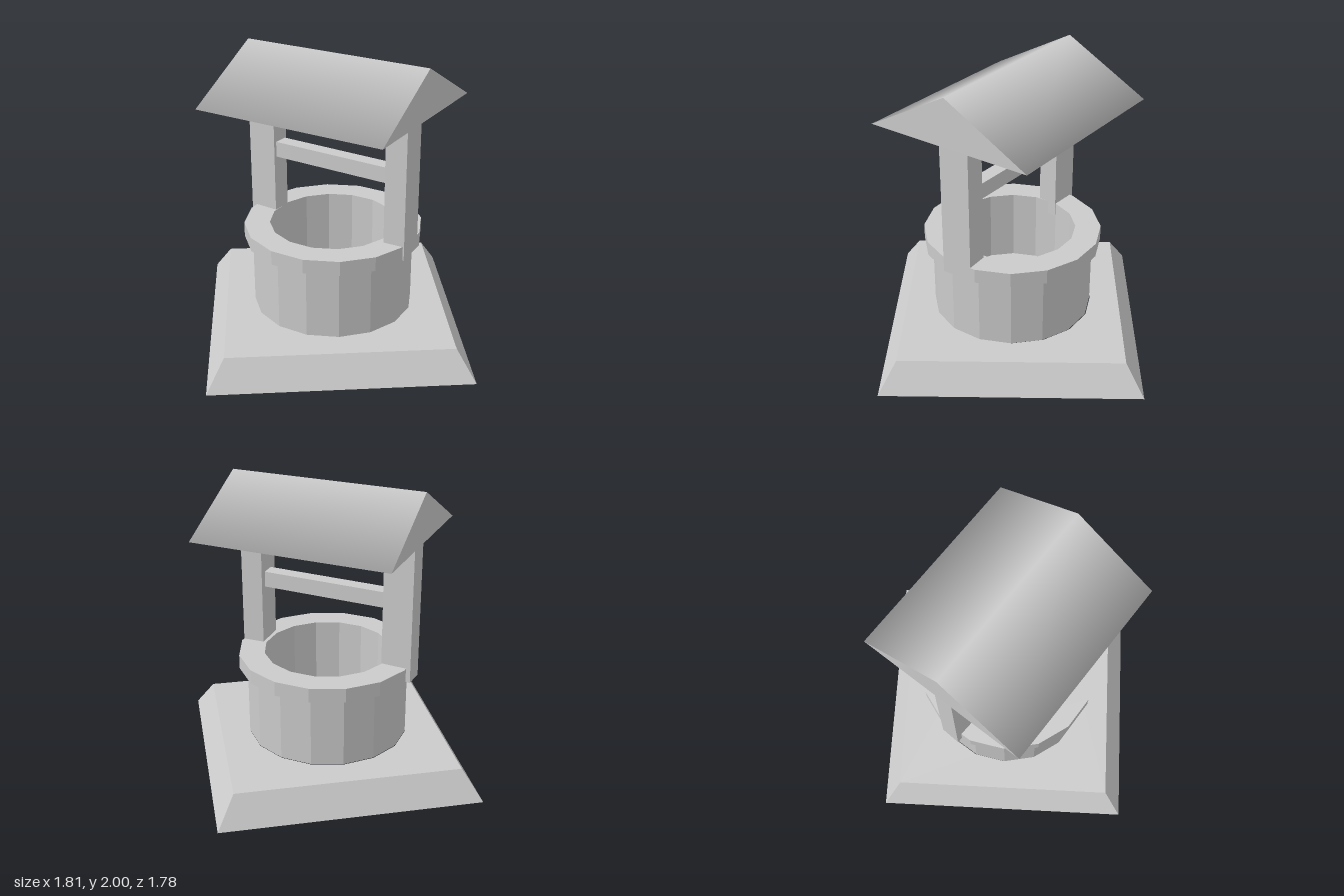
import * as THREE from 'three';

const flat = new THREE.MeshStandardMaterial({ color: 0xcccccc, flatShading: true, side: THREE.DoubleSide });
const smooth = new THREE.MeshStandardMaterial({ color: 0xcccccc });

// Triangular prism along x: flat ends, normals blended around its three long edges
function prismGeometry(length, width, height) {
  const h = length / 2, w = width / 2;
  const slope = new THREE.Vector2(height, w).normalize();
  const eave = new THREE.Vector2(slope.x, slope.y - 1).normalize();
  const corners = [
    { y: 0, z: w, n: [0, eave.y, eave.x] },
    { y: height, z: 0, n: [0, 1, 0] },
    { y: 0, z: -w, n: [0, eave.y, -eave.x] },
  ];
  const pos = [], nor = [];
  const add = (x, c, n) => { pos.push(x, c.y, c.z); nor.push(...n); };
  corners.forEach((a, i) => {
    const b = corners[(i + 1) % 3];
    [[-h, a], [h, a], [h, b], [-h, a], [h, b], [-h, b]].forEach(([x, c]) => add(x, c, c.n));
  });
  corners.forEach((c) => add(-h, c, [-1, 0, 0]));
  [...corners].reverse().forEach((c) => add(h, c, [1, 0, 0]));
  const g = new THREE.BufferGeometry();
  g.setAttribute('position', new THREE.Float32BufferAttribute(pos, 3));
  g.setAttribute('normal', new THREE.Float32BufferAttribute(nor, 3));
  // Make every triangle wind the way its normals point
  const p = g.attributes.position, n = g.attributes.normal;
  const v = (attr, i) => new THREE.Vector3().fromBufferAttribute(attr, i);
  for (let i = 0; i < p.count; i += 3) {
    const a = v(p, i), b = v(p, i + 1), c = v(p, i + 2);
    const face = b.clone().sub(a).cross(c.clone().sub(a));
    const mean = v(n, i).add(v(n, i + 1)).add(v(n, i + 2));
    if (face.dot(mean) < 0) {
      const nb = v(n, i + 1), nc = v(n, i + 2);
      p.setXYZ(i + 1, c.x, c.y, c.z); p.setXYZ(i + 2, b.x, b.y, b.z);
      n.setXYZ(i + 1, nc.x, nc.y, nc.z); n.setXYZ(i + 2, nb.x, nb.y, nb.z);
    }
  }
  return g;
}

export function createModel() {
  const model = new THREE.Group();
  model.name = 'well';
  const add = (name, geometry, material, x, y, z, angle = 0) => {
    const mesh = new THREE.Mesh(geometry, material);
    mesh.name = name;
    mesh.position.set(x, y, z);
    mesh.rotation.y = -angle;
    model.add(mesh);
  };

  // Plinth: hollow sloping skirt, open below, and a top with a round opening
  const bottom = 0.88, top = 0.76, sides = 16;
  add('plinthSkirt', new THREE.CylinderGeometry(top * Math.SQRT2, bottom * Math.SQRT2, 0.2, 4, 1, true, Math.PI / 4),
    flat, -0.01, 0.1, -0.01);
  const square = new THREE.Shape([[-1, -1], [1, -1], [1, 1], [-1, 1]].map(([x, y]) => new THREE.Vector2(x * top, y * top)));
  const opening = [];
  for (let i = 0; i < sides; i++) {
    const a = (-i / sides) * Math.PI * 2;
    opening.push(new THREE.Vector2(0.56 * Math.cos(a), 0.56 * Math.sin(a)));
  }
  square.holes.push(new THREE.Path(opening));
  add('plinthTop', new THREE.ShapeGeometry(square).rotateX(-Math.PI / 2), flat, -0.01, 0.2, -0.01);

  // Well wall: recessed underside, outer wall, projecting rim, inner wall and floor
  const profile = [
    [0, 0.28], [0.44, 0.28], [0.56, 0.2], [0.56, 0.7], [0.617, 0.7],
    [0.617, 0.8], [0.44, 0.8], [0.44, 0.29], [0, 0.29],
  ].map(([r, y]) => new THREE.Vector2(r, y));
  add('wellWall', new THREE.LatheGeometry(profile, sides), flat, -0.01, 0, -0.005);

  // Two posts standing in the rim, and the bar between them
  const posts = [
    { name: 'leftPost', x: 0.42, z: 0.31, w: 0.15, d: 0.216, angle: 0.56 },
    { name: 'rightPost', x: -0.445, z: -0.32, w: 0.21, d: 0.14, angle: 0.66 },
  ];
  for (const p of posts) {
    add(p.name, new THREE.BoxGeometry(p.w, 0.98, p.d), flat, p.x, 1.19, p.z, p.angle);
  }
  const [a, b] = posts;
  const dx = a.x - b.x, dz = a.z - b.z;
  add('crossbar', new THREE.BoxGeometry(Math.hypot(dx, dz) - 0.12, 0.11, 0.1), flat,
    (a.x + b.x) / 2, 1.255, (a.z + b.z) / 2, Math.atan2(dz, dx));

  // Gabled roof
  add('roof', prismGeometry(1.365, 1.207, 0.328), smooth, 0, 1.672, 0, 0.609);
  return model;
}
